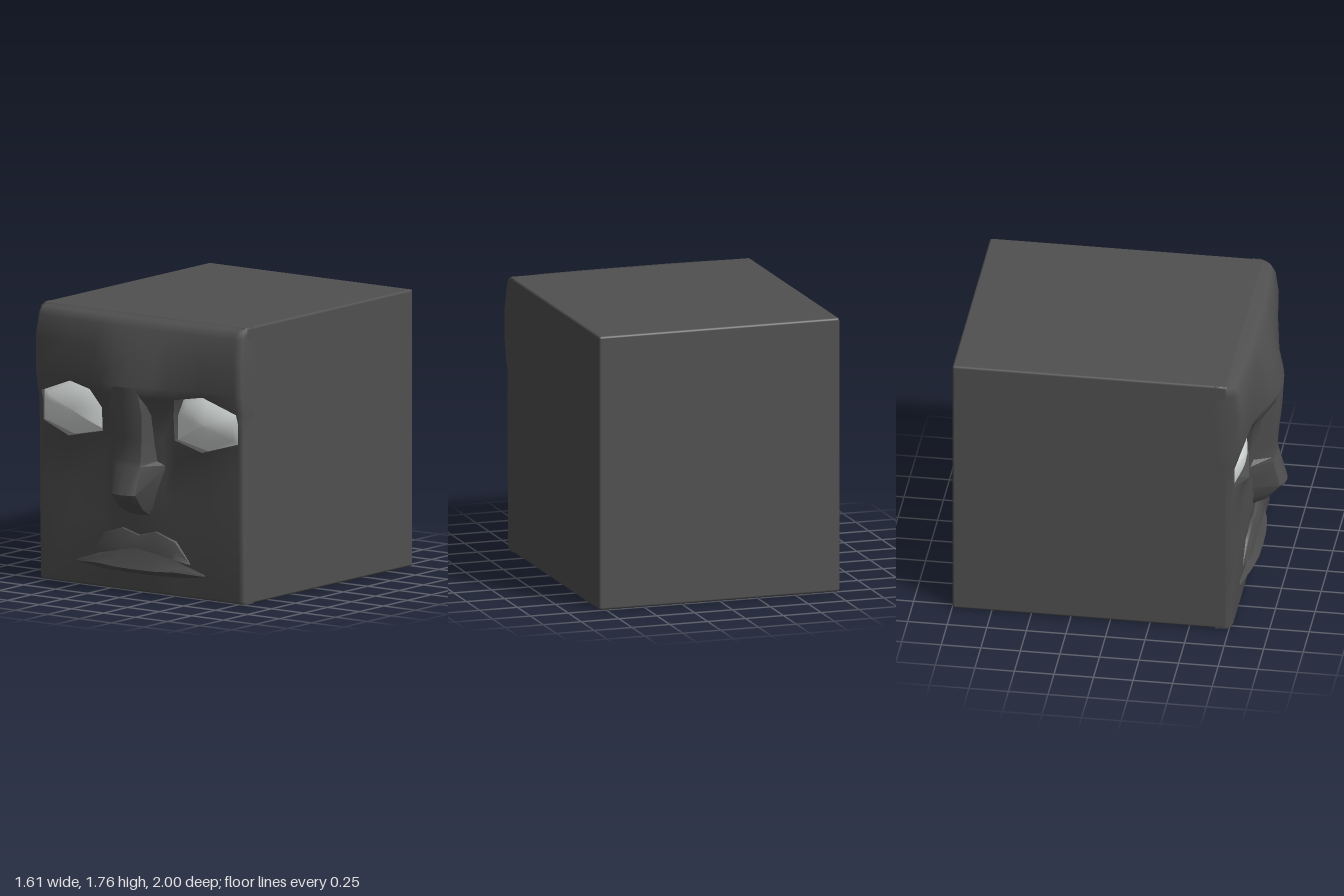
import * as THREE from 'three';
import { toCreasedNormals } from 'three/addons/utils/BufferGeometryUtils.js';
import { RoundedBoxGeometry } from 'three/addons/geometries/RoundedBoxGeometry.js';

// Surface through sections of equal length; skip(i, j) leaves a quad open
function loft(sections, skip = () => false) {
  const n = sections[0].length, index = [];
  for (let i = 0; i < sections.length - 1; i++) {
    for (let j = 0; j < n - 1; j++) {
      if (skip(i, j)) continue;
      const a = i * n + j, b = a + 1, c = a + n, d = c + 1;
      index.push(a, b, d, a, d, c);
    }
  }
  const geo = new THREE.BufferGeometry();
  geo.setAttribute('position', new THREE.Float32BufferAttribute(sections.flat(2), 3));
  geo.setIndex(index);
  geo.computeVertexNormals();
  return geo;
}

// Half a row (x >= 0, starting at the centre line) mirrored to a full one
const mirrorRow = (half) => [
  ...half.slice(1).reverse().map(([x, y, z]) => [-x, y, z]), ...half];

// Face relief: y, then depth at each column from the centre line outwards
const columns = [0, 0.1, 0.2, 0.28, 0.52, 0.76, 0.795];
const faceRows = [
  [0.0, 0.74, 0.74, 0.74, 0.74, 0.74, 0.74, 0.74],
  [0.02, 0.77, 0.77, 0.77, 0.77, 0.77, 0.77, 0.755],
  [0.45, 0.785, 0.785, 0.785, 0.78, 0.775, 0.775, 0.765],
  [0.62, 0.82, 0.81, 0.79, 0.785, 0.78, 0.775, 0.765],
  [0.85, 0.84, 0.82, 0.795, 0.79, 0.785, 0.775, 0.765],
  [1.0, 0.87, 0.85, 0.815, 0.80, 0.835, 0.78, 0.77],
  [1.15, 0.92, 0.88, 0.83, 0.81, 0.80, 0.78, 0.77],
  [1.27, 0.96, 0.945, 0.915, 0.87, 0.83, 0.80, 0.775],
  [1.34, 0.975, 0.965, 0.945, 0.91, 0.855, 0.825, 0.80],
  [1.55, 0.905, 0.90, 0.895, 0.88, 0.86, 0.83, 0.80],
  [1.69, 0.85, 0.85, 0.85, 0.845, 0.835, 0.81, 0.78],
  [1.742, 0.81, 0.81, 0.81, 0.81, 0.80, 0.78, 0.75],
  [1.757, 0.69, 0.69, 0.69, 0.69, 0.70, 0.70, 0.70],
];
const EYE_LOW = 5, EYE_MID = 6, EYE_TOP = 7;
const lidLow = [0, 0, 0, 0, -0.05, 0.02, 0.02];
const lidTop = [0, 0, 0, 0, 0.03, -0.06, -0.06];

const facePoints = faceRows.map(([y, ...depths], i) => {
  const half = depths.map((z, j) => {
    let x = columns[j];
    if (i === EYE_TOP && j === 3) x += 0.05;
    if (j === 6 && i >= EYE_TOP && i < 10) x += 0.008;
    const dy = i === EYE_LOW ? lidLow[j] : i === EYE_TOP ? lidTop[j] : 0;
    return [x, y + dy, z];
  });
  const [ex, ey] = half[6];
  half.push([ex - 0.002, ey, 0.66]);
  return half;
});

// Eye opening, anticlockwise, taken from the face relief
const eyeOutline = [
  [EYE_LOW, 3], [EYE_LOW, 4], [EYE_LOW, 5], [EYE_MID, 5],
  [EYE_TOP, 5], [EYE_TOP, 4], [EYE_TOP, 3], [EYE_MID, 3], [EYE_LOW, 3],
].map(([i, j]) => facePoints[i][j]);

// Domed disc filling the eye opening
function eyeGeometry(side) {
  const rings = [];
  for (let k = 0; k <= 6; k++) {
    const r = Math.max(1 - k / 6, 0.001);
    rings.push(eyeOutline.map(([x, y]) => [
      side * (0.52 + (x - 0.52) * r), 1.12 + (y - 1.12) * r, 0.82 - 0.055 * r * r]));
  }
  if (side < 0) rings.forEach((ring) => ring.reverse());
  return loft(rings);
}

// Lid edge running back from the skin to the eye
function lidGeometry(side) {
  const rings = [
    eyeOutline.map(([x, y, z]) => [side * x, y, z]),
    eyeOutline.map(([x, y]) => [side * x, y, 0.755])];
  if (side < 0) rings.forEach((ring) => ring.reverse());
  return toCreasedNormals(loft(rings), 0.4);
}

export function createModel() {
  const model = new THREE.Group();
  const stone = new THREE.MeshStandardMaterial({ color: 0x505050, side: THREE.DoubleSide });
  stone.name = 'dark grey stone';
  const white = new THREE.MeshStandardMaterial({ color: 0xdfe4e2, side: THREE.DoubleSide });
  white.name = 'eye white';
  const add = (name, geo, mat = stone) => {
    const mesh = new THREE.Mesh(geo, mat);
    mesh.name = name;
    model.add(mesh);
    return mesh;
  };

  // Block of the head
  add('headBlock', new RoundedBoxGeometry(1.59, 1.757, 1.74, 2, 0.015))
    .position.set(0, 0.8785, -0.13);

  // Face with open eye sockets
  const inEye = (i, j) => {
    const c = j >= 7 ? j - 7 : 6 - j;
    return (i === EYE_LOW || i === EYE_MID) && (c === 3 || c === 4);
  };
  add('face', loft(facePoints.map(mirrorRow), inEye));

  // Eyes and lids
  for (const [side, name] of [[1, 'left'], [-1, 'right']]) {
    add(name + 'Eye', eyeGeometry(side), white);
    add(name + 'EyeLids', lidGeometry(side));
  }

  // Nose: y, ridge half width, base half width, centre depth, ridge depth
  const noseRows = [
    [0.5, 0.08, 0.09, 0.80, 0.79],
    [0.55, 0.09, 0.115, 0.90, 0.88],
    [0.65, 0.095, 0.15, 1.0, 0.965],
    [0.83, 0.105, 0.215, 0.94, 0.925],
    [0.86, 0.105, 0.165, 0.93, 0.92],
    [1.0, 0.115, 0.165, 0.945, 0.925],
    [1.17, 0.125, 0.165, 0.965, 0.94],
    [1.33, 0.10, 0.19, 0.974, 0.955],
  ];
  const nose = noseRows.map(([y, a, b, zc, zr]) => mirrorRow([
    [0, y, zc], [a * 0.6, y, zc * 0.7 + zr * 0.3], [a, y, zr], [b, y, 0.775]]));
  add('nose', toCreasedNormals(loft(nose), 0.75));

  // Lips: sections from top to bottom, each mirrored
  const upperLip = [
    [[0, 0.285, 0.822], [0.13, 0.27, 0.822], [0.28, 0.24, 0.815], [0.39, 0.215, 0.775]],
    [[0, 0.32, 0.815], [0.13, 0.34, 0.818], [0.28, 0.29, 0.81], [0.385, 0.218, 0.775]],
    [[0, 0.365, 0.798], [0.13, 0.40, 0.80], [0.28, 0.35, 0.795], [0.38, 0.222, 0.775]],
    [[0, 0.37, 0.77], [0.13, 0.405, 0.77], [0.28, 0.355, 0.77], [0.38, 0.225, 0.77]],
  ];
  add('upperLip', toCreasedNormals(loft(upperLip.map(mirrorRow)), 0.7));
  const lowerLip = [
    [[0, 0.115, 0.77], [0.15, 0.117, 0.77], [0.31, 0.122, 0.77], [0.5, 0.145, 0.768]],
    [[0, 0.155, 0.845], [0.15, 0.157, 0.842], [0.31, 0.165, 0.825], [0.5, 0.15, 0.775]],
    [[0, 0.22, 0.82], [0.15, 0.21, 0.818], [0.31, 0.19, 0.808], [0.5, 0.155, 0.775]],
    [[0, 0.285, 0.80], [0.15, 0.262, 0.80], [0.31, 0.225, 0.795], [0.5, 0.16, 0.77]],
  ];
  add('lowerLip', toCreasedNormals(loft(lowerLip.map(mirrorRow)), 0.7));

  return model;
}
